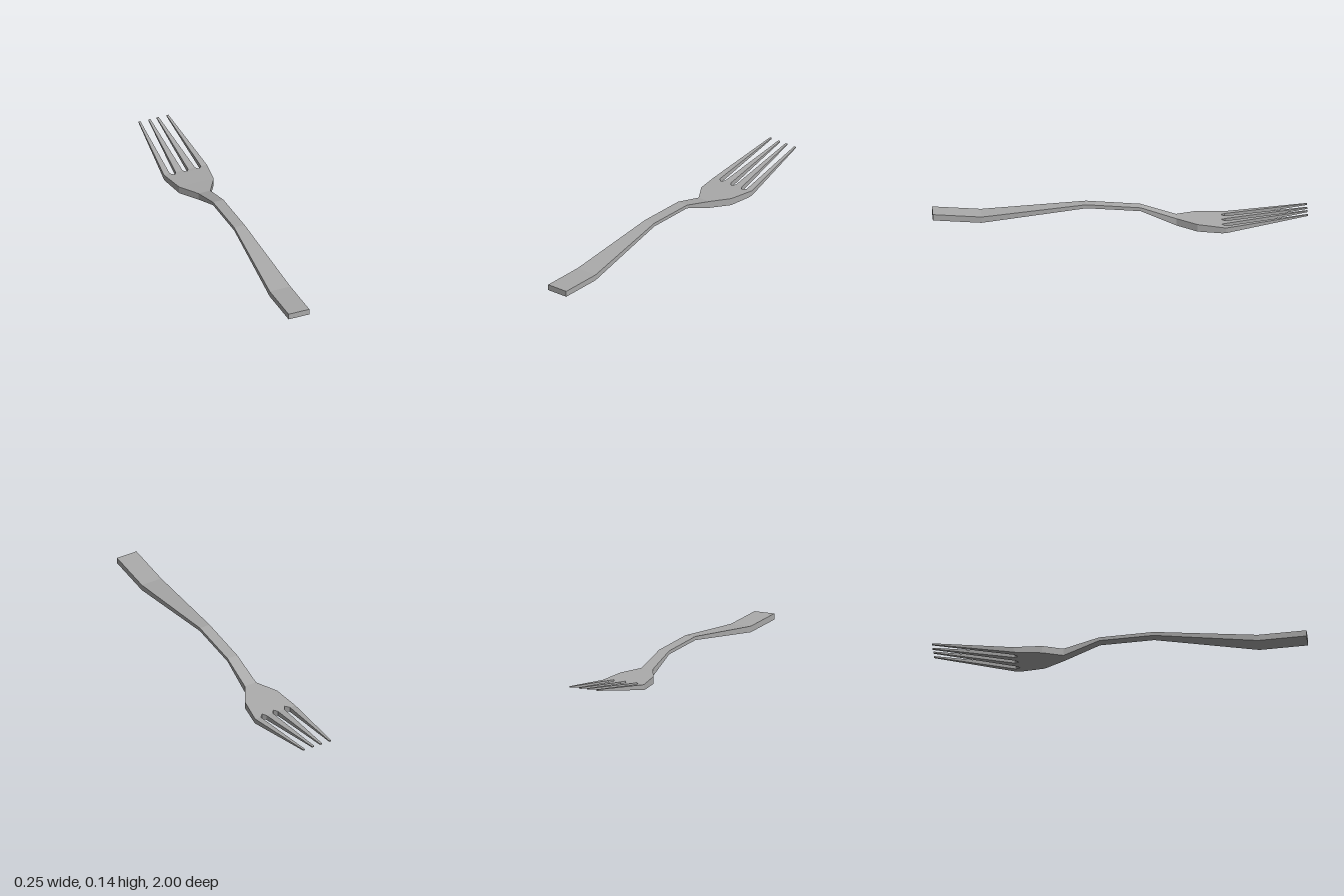
import * as THREE from 'three';

// Lofts rectangular sections [z, x0, x1, yBottom, yTop], ordered from front to back.
function loft(sections, capFront, capBack) {
  const rings = sections.map(([z, x0, x1, yb, yt]) => [[x0, yb, z], [x1, yb, z], [x1, yt, z], [x0, yt, z]]);
  const pos = [];
  const quad = (a, b, c, d) => pos.push(...a, ...b, ...c, ...a, ...c, ...d);
  for (let s = 0; s < rings.length - 1; s++) {
    const a = rings[s], b = rings[s + 1];
    for (let i = 0; i < 4; i++) {
      const j = (i + 1) % 4;
      quad(a[i], b[i], b[j], a[j]);
    }
  }
  if (capFront) quad(...rings[0]);
  if (capBack) quad(...rings[rings.length - 1].slice().reverse());
  const geo = new THREE.BufferGeometry();
  geo.setAttribute('position', new THREE.Float32BufferAttribute(pos, 3));
  geo.computeVertexNormals(); // unshared corners give flat facets
  return geo;
}

export function createModel() {
  const group = new THREE.Group();
  group.name = 'fork';
  const steel = new THREE.MeshStandardMaterial({ color: 0xaaaaaa });
  steel.name = 'steel grey';
  const add = (name, geo) => {
    const mesh = new THREE.Mesh(geo, steel);
    mesh.name = name;
    group.add(mesh);
  };
  const centred = ([z, w, yb, yt]) => [z, -w, w, yb, yt];

  // Handle: wide flat end, narrowing over the arch and down to the neck
  add('handle', loft([
    [1, 0.06, 0.075, 0.108],
    [0.74, 0.06, 0.057, 0.09],
    [0.18, 0.03, 0.12, 0.14],
    [-0.11, 0.03, 0.099, 0.118],
    [-0.3, 0.035, 0.016, 0.055],
  ].map(centred), true, false));

  // Palm: flares out to the roots of the tines
  add('palm', loft([
    [-0.3, 0.035, 0.016, 0.055],
    [-0.41, 0.1, 0.005, 0.045],
    [-0.54, 0.121, 0.001, 0.034],
  ].map(centred), false, false));

  // Tines: roots meet in V-shaped notches, then taper to small square tips
  const tines = {
    inner: [[-0.54, 0, 0.07], [-0.562, 0.016, 0.056], [-1, 0.018, 0.03]],
    outer: [[-0.54, 0.07, 0.121], [-0.562, 0.09, 0.124], [-1, 0.075, 0.086]],
  };
  const heights = [[0.001, 0.034], [0.003, 0.032], [0.08, 0.087]];
  for (const [kind, plan] of Object.entries(tines)) {
    for (const side of [1, -1]) {
      const sections = plan.map(([z, a, b], i) =>
        side > 0 ? [z, a, b, ...heights[i]] : [z, -b, -a, ...heights[i]]);
      add(`${kind}Tine${side > 0 ? 'Left' : 'Right'}`, loft(sections, false, true));
    }
  }
  return group;
}
